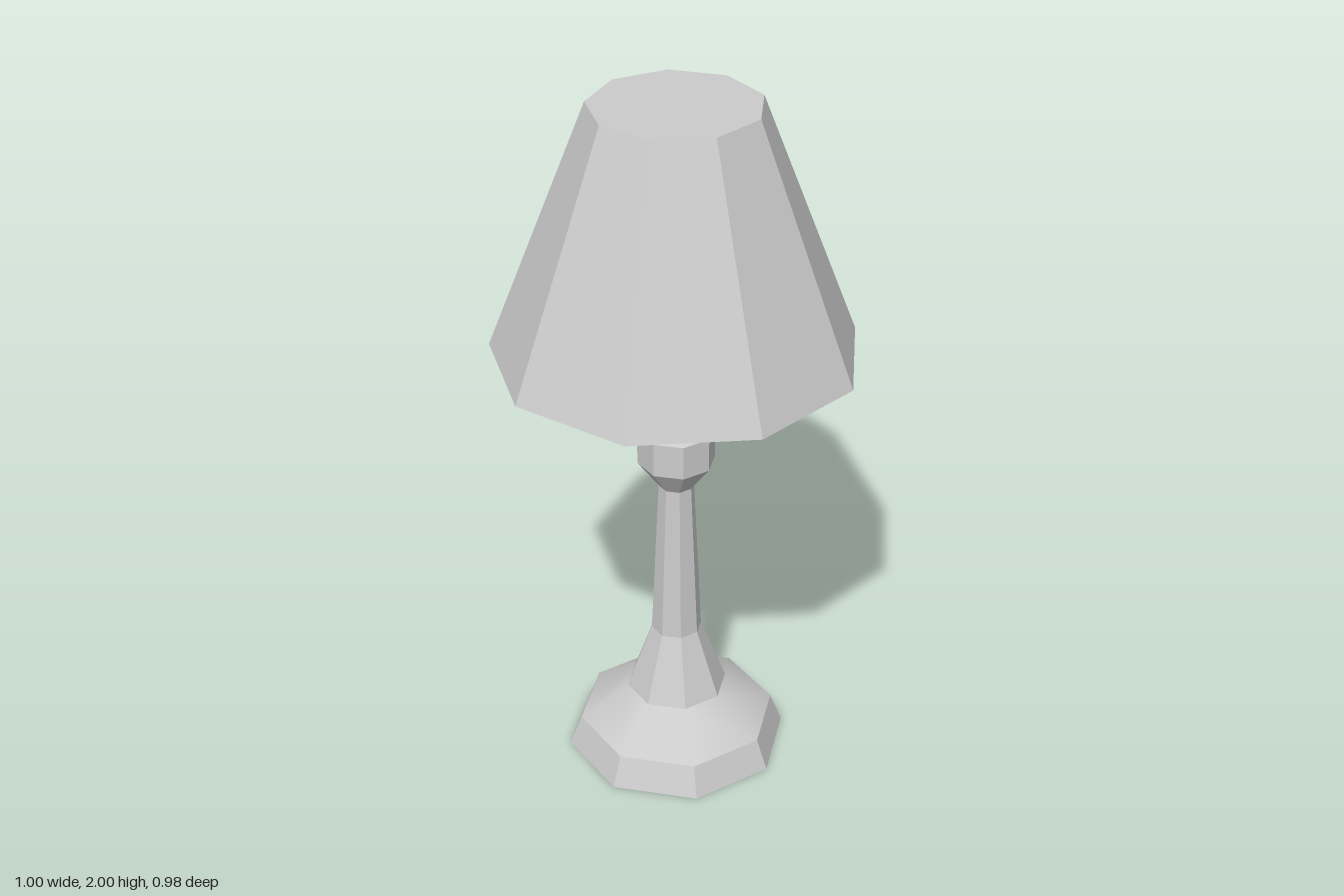
import * as THREE from 'three';

// Faceted (or smooth) turned part from [radius, height] pairs, bottom to top
function turned(name, profile, sides, { flat = true, start = 0 } = {}) {
  const points = profile.map(([r, y]) => new THREE.Vector2(r, y));
  const material = new THREE.MeshStandardMaterial({
    color: 0xcccccc, flatShading: flat, side: THREE.DoubleSide,
  });
  const mesh = new THREE.Mesh(new THREE.LatheGeometry(points, sides, start), material);
  mesh.name = name;
  return mesh;
}

export function createModel() {
  const lamp = new THREE.Group();
  lamp.name = 'tableLamp';

  // Octagonal foot, open underneath, with a smooth upper slope
  lamp.add(turned('footRim', [[0.318, 0], [0.284, 0.09]], 8));
  lamp.add(turned('footSlope', [[0.284, 0.09], [0.145, 0.19]], 8, { flat: false }));

  // Flared column, rising to the knob
  lamp.add(turned('column', [[0.145, 0.19], [0.072, 0.39], [0.05, 0.87]], 8));

  // Knob with a smooth shoulder
  lamp.add(turned('knob', [[0.05, 0.87], [0.109, 0.95], [0.109, 1.05]], 8));
  lamp.add(turned('knobShoulder', [[0.109, 1.05], [0.05, 1.1]], 8, { flat: false }));

  // Neck running up inside the shade
  lamp.add(turned('neck', [[0.05, 1.1], [0.05, 1.99]], 8));

  // Nine-sided shade, closed on top and open below
  lamp.add(turned('shade', [[0.507, 1.29], [0.233, 2], [0, 2]], 9, { start: Math.PI }));

  // Centre the uneven outline of the shade front to back
  for (const part of lamp.children) part.position.z = 0.015;
  return lamp;
}
